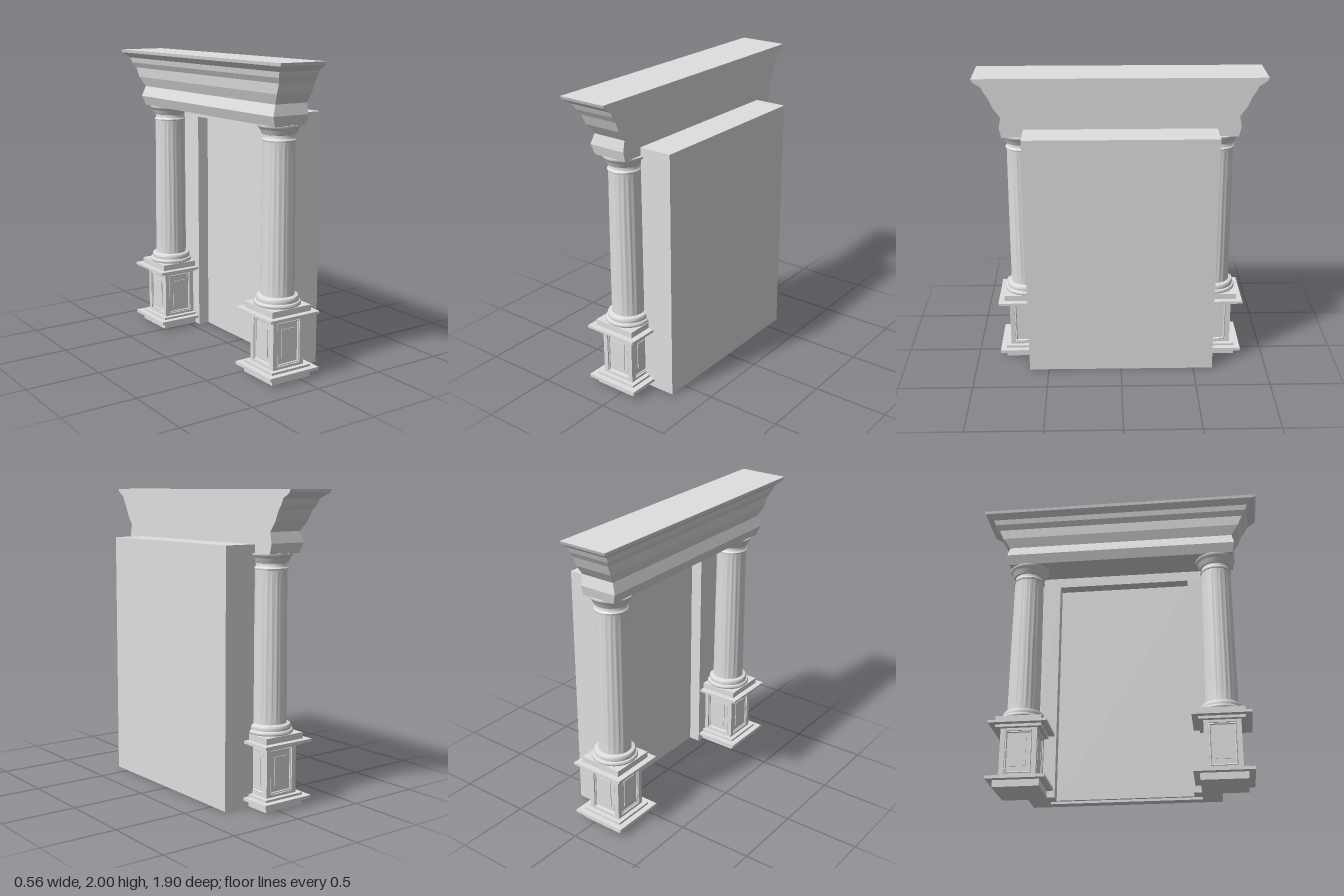
import * as THREE from 'three';
import { toCreasedNormals } from 'three/addons/utils/BufferGeometryUtils.js';

export function createModel() {
  const stone = new THREE.MeshStandardMaterial({ color: 0xdfdfdf });
  stone.name = 'pale stone';
  const root = new THREE.Group();
  root.name = 'portal';

  function add(parent, name, geo, x = 0, y = 0, z = 0) {
    const m = new THREE.Mesh(geo, stone);
    m.name = name;
    m.position.set(x, y, z);
    parent.add(m);
  }
  // box given by its min and max corners
  function block(parent, name, x0, x1, y0, y1, z0, z1) {
    add(parent, name, new THREE.BoxGeometry(x1 - x0, y1 - y0, z1 - z0),
      (x0 + x1) / 2, (y0 + y1) / 2, (z0 + z1) / 2);
  }
  function rect(target, w, y0, y1) {
    target.moveTo(-w, y0);
    target.lineTo(w, y0);
    target.lineTo(w, y1);
    target.lineTo(-w, y1);
    target.closePath();
    return target;
  }

  // hollow wall, open underneath, with a shallow doorway recess on the -x side
  const wall = new THREE.Group();
  wall.name = 'wall';
  root.add(wall);
  block(wall, 'wallSlab', 0.21, 0.28, 0, 1.665, -0.63, 0.63);
  block(wall, 'lintel', 0.055, 0.21, 1.54, 1.665, -0.63, 0.63);
  block(wall, 'recessPanel', 0.135, 0.155, 0, 1.54, -0.45, 0.45);
  for (const s of [-1, 1]) {
    const span = (a, b) => [Math.min(s * a, s * b), Math.max(s * a, s * b)];
    block(wall, 'jamb', 0.055, 0.155, 0, 1.54, ...span(0.45, 0.63));
    block(wall, 'wallEnd', 0.155, 0.21, 0, 1.54, ...span(0.5, 0.63));
  }

  // entablature: mitred moulding on three sides, flat at the wall
  // each section is [y, front x, end z]
  const sections = [
    [1.61, -0.183, 0.772], [1.675, -0.207, 0.787], [1.745, -0.183, 0.773],
    [1.81, -0.208, 0.82], [1.875, -0.215, 0.848], [1.91, -0.235, 0.872],
    [1.945, -0.243, 0.888], [1.98, -0.276, 0.942], [2.0, -0.28, 0.95],
  ];
  const pos = [];
  const ring = ([y, x, z]) => [[x, y, z], [0.055, y, z], [0.055, y, -z], [x, y, -z]];
  const quad = (a, b, c, d) => pos.push(...a, ...b, ...c, ...a, ...c, ...d);
  for (let i = 0; i < sections.length - 1; i++) {
    const lo = ring(sections[i]), hi = ring(sections[i + 1]);
    for (let k = 0; k < 4; k++) {
      const n = (k + 1) % 4;
      quad(lo[k], lo[n], hi[n], hi[k]);
    }
  }
  const top = ring(sections[sections.length - 1]), bottom = ring(sections[0]);
  quad(top[0], top[1], top[2], top[3]);
  quad(bottom[3], bottom[2], bottom[1], bottom[0]);
  const entablature = new THREE.BufferGeometry();
  entablature.setAttribute('position', new THREE.Float32BufferAttribute(pos, 3));
  entablature.computeVertexNormals();
  add(root, 'entablature', entablature);

  // softly fluted shaft with a slight taper; flutes fade out at both ends
  const y0 = 0.535, y1 = 1.515, flutes = 20;
  let shaft = new THREE.CylinderGeometry(1, 1, y1 - y0, flutes * 6, 16, true);
  const p = shaft.attributes.position;
  for (let i = 0; i < p.count; i++) {
    const t = THREE.MathUtils.clamp(p.getY(i) / (y1 - y0) + 0.5, 0, 1);
    const a = Math.atan2(p.getX(i), p.getZ(i));
    const fade = Math.min(1, t / 0.06, (1 - t) / 0.06);
    const r = 0.108 - 0.008 * Math.pow(t, 1.4)
      - 0.004 * fade * Math.abs(Math.sin(a * flutes / 2));
    p.setX(i, Math.sin(a) * r);
    p.setZ(i, Math.cos(a) * r);
  }
  shaft = toCreasedNormals(shaft, 1.2);

  const turned = (points) => toCreasedNormals(
    new THREE.LatheGeometry(points.map(([r, y]) => new THREE.Vector2(r, y)), 40), 0.7);
  const base = turned([
    [0.1, 0.475], [0.146, 0.475], [0.15, 0.48], [0.15, 0.49], [0.145, 0.498], [0.135, 0.501],
    [0.136, 0.51], [0.135, 0.525], [0.13, 0.533], [0.118, 0.536], [0.1, 0.54],
  ]);
  const capital = turned([
    [0.09, 1.507], [0.105, 1.51], [0.107, 1.518], [0.1, 1.524], [0.095, 1.532],
    [0.096, 1.55], [0.106, 1.553], [0.11, 1.562], [0.118, 1.575], [0.122, 1.588],
    [0.13, 1.594], [0.135, 1.604], [0.135, 1.612], [0.001, 1.612],
  ]);

  // sunk panel: flat border, bevelled inner moulding and a low field
  const frame = (outer, inner) => {
    const shape = rect(new THREE.Shape(), outer[0], outer[1], outer[2]);
    shape.holes.push(rect(new THREE.Path(), inner[0], inner[1], inner[2]));
    return shape;
  };
  const borderGeo = new THREE.ExtrudeGeometry(frame([0.12, 0.08, 0.4], [0.088, 0.097, 0.383]),
    { depth: 0.011, bevelEnabled: false });
  const mouldingGeo = new THREE.ExtrudeGeometry(frame([0.083, 0.102, 0.378], [0.079, 0.106, 0.374]),
    { depth: 0.002, bevelThickness: 0.005, bevelSize: 0.004, bevelSegments: 1 });
  const fieldGeo = new THREE.ExtrudeGeometry(rect(new THREE.Shape(), 0.05, 0.145, 0.335),
    { depth: 0.005, bevelEnabled: false });

  // pedestal slabs: [name, half width, bottom, top]
  const slabs = [
    ['plinth', 0.15, 0, 0.08], ['lowerLedge', 0.19, 0.045, 0.065], ['pedestalCore', 0.109, 0.08, 0.4],
    ['pedestalCap', 0.15, 0.4, 0.475], ['upperLedge', 0.19, 0.418, 0.435],
  ];

  for (const s of [-1, 1]) {
    const column = new THREE.Group();
    column.name = s > 0 ? 'frontColumn' : 'backColumn';
    column.position.set(-0.06, 0, s * 0.652);
    root.add(column);
    for (const [name, h, b, t] of slabs) block(column, name, -h, h, b, t, -h, h);
    for (let k = 0; k < 4; k++) {
      const side = new THREE.Group();
      side.name = 'pedestalPanel';
      side.rotation.y = k * Math.PI / 2;
      column.add(side);
      add(side, 'panelBorder', borderGeo, 0, 0, 0.109);
      add(side, 'panelMoulding', mouldingGeo, 0, 0, 0.109);
      add(side, 'panelField', fieldGeo, 0, 0, 0.109);
    }
    add(column, 'columnBase', base);
    add(column, 'shaft', shaft, 0, (y0 + y1) / 2, 0);
    add(column, 'capital', capital);
  }
  return root;
}
